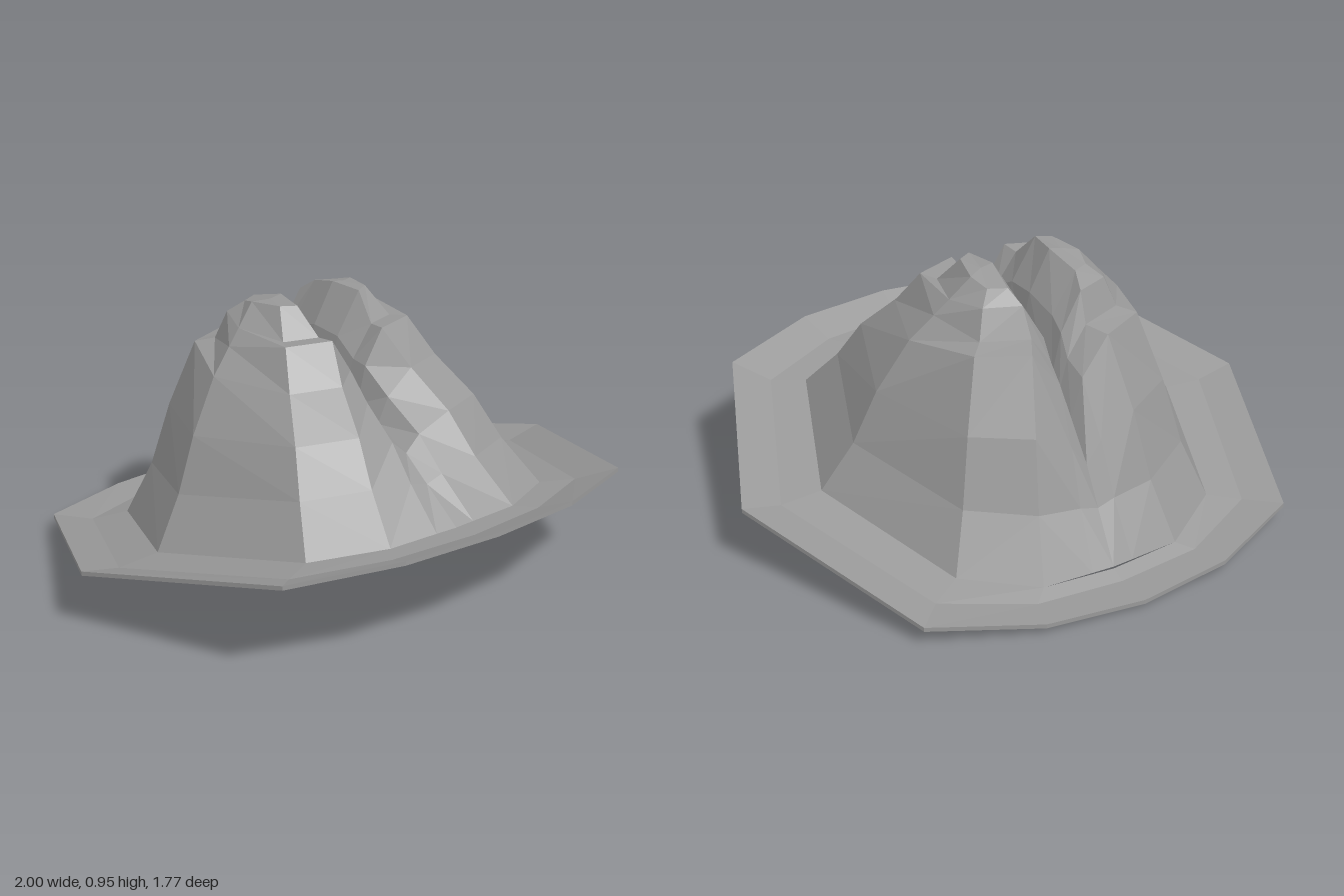
import * as THREE from 'three';

// Skin a grid of points: rows run along i, each row holds points along j
function skin(rows, mirror = false) {
  const pos = [];
  const s = mirror ? -1 : 1;
  const tri = (a, b, c) => {
    for (const p of mirror ? [a, c, b] : [a, b, c]) pos.push(p[0] * s, p[1], p[2]);
  };
  for (let i = 0; i < rows.length - 1; i++) {
    for (let j = 0; j < rows[i].length - 1; j++) {
      const a = rows[i][j], b = rows[i + 1][j], c = rows[i + 1][j + 1], d = rows[i][j + 1];
      tri(a, b, c);
      tri(a, c, d);
    }
  }
  const g = new THREE.BufferGeometry();
  g.setAttribute('position', new THREE.Float32BufferAttribute(pos, 3));
  g.computeVertexNormals();
  return g;
}

const lerp = THREE.MathUtils.lerp;
const plane = (z, drop) => 0.22 + 0.215 * z - drop; // tilt of the whole tray
const FOOT_DROP = 0.02;

// Piecewise linear lookup
function lookup(pts, x) {
  for (let i = 1; i < pts.length; i++) {
    const [x0, y0] = pts[i - 1], [x1, y1] = pts[i];
    if (x <= x1) return lerp(y0, y1, Math.max(0, (x - x0) / (x1 - x0)));
  }
  return pts[pts.length - 1][1];
}

// Half outline from front to back, mirrored into a closed ring
const closed = (half) => [...half, ...half.slice(1, -1).reverse().map(([x, z]) => [-x, z]), half[0]];

export function createModel() {
  const model = new THREE.Group();
  const stone = new THREE.MeshStandardMaterial({ color: 0x999999, flatShading: true });
  stone.name = 'grey stone';
  const add = (name, geometry, parent = model) => {
    const m = new THREE.Mesh(geometry, stone);
    m.name = name;
    parent.add(m);
  };

  // Tilted tray: floor, raised lip, rim edge and flat underside
  const foot = [[0, 0.68], [0.26, 0.665], [0.5, 0.54], [0.71, 0], [0.5, -0.54], [0.26, -0.69], [0, -0.71]];
  const inner = [[0, 0.77], [0.31, 0.735], [0.61, 0.6], [0.86, 0], [0.61, -0.6], [0.31, -0.735], [0, -0.76]];
  const rim = [[0, 0.885], [0.35, 0.85], [0.71, 0.705], [1, 0], [0.71, -0.705], [0.35, -0.85], [0, -0.89]];
  const under = rim.map(([x, z]) => [x * 0.88, z * 0.87]);
  const layers = [[foot, FOOT_DROP], [inner, 0.03], [rim, 0], [rim, 0.015], [under, 0.054], [rim.map(() => [0, 0]), 0.058]];
  const rings = layers.map(([half, drop]) => closed(half).map(([x, z]) => [x, plane(z, drop), z]));
  // walk the ring from +x towards +z so faces point outwards
  const trayRows = rings[0].map((_, i) => rings.map((r) => r[i])).reverse();
  add('tray', skin(trayRows));

  // Spokes of one peak, from foot to summit, front to back
  const T = [0, 0.22, 0.38, 0.6, 0.76, 0.86, 1];
  const H = {
    front: [0, 0.23, 0.46, 0.66, 0.86, 0.85, 1],
    side: [0, 0.23, 0.48, 0.72, 0.83, 0.9, 1],
    back: [0, 0.24, 0.52, 0.81, 0.83, 0.95, 1],
  };
  const PINCH = [1, 0.95, 0.9, 0.8, 0.65, 0.75, 1];
  const summit = [[0.13, 0.94, 0], [0.18, 0.94, -0.03], [0.21, 0.93, -0.15], [0.19, 0.91, -0.22], [0.13, 0.91, -0.25]];
  const rise = [H.front, H.front, H.side, H.back, H.back];
  const spokes = summit.map((top, i) => {
    const [fx, fz] = foot[i + 1];
    const fy = plane(fz, FOOT_DROP);
    const ridge = i === 0 || i === 4;
    return T.map((t, k) => [
      lerp(fx, top[0], t) * (ridge ? PINCH[k] : 1),
      lerp(fy, top[1], rise[i][k]),
      lerp(fz, top[2], t),
    ]);
  });

  // Cleft between the peaks: ridge line, steep wall, valley floor on the centre line
  const valley = [[-0.71, plane(-0.71, FOOT_DROP)], [-0.6, 0.24], [-0.5, 0.42], [-0.3, 0.61],
    [-0.12, 0.65], [0.13, 0.62], [0.42, 0.52], [0.68, plane(0.68, FOOT_DROP)]];
  const innerTop = [0.11, 0.945, -0.12];
  const ridgeLine = [...spokes[0], innerTop, ...[...spokes[4]].reverse()];
  const cleft = ridgeLine.map((p) => {
    const z = p[2] * 1.025;
    const y = lookup(valley, z);
    return [p, [p[0] * 0.3, lerp(y, p[1], 0.52), lerp(z, p[2], 0.3)], [0, y, z]];
  });

  // Small flat summit
  const centre = [0.155, 0.937, -0.12];
  const cap = [...summit, innerTop, summit[0]].map((p) => [p, centre]);

  for (const [name, mirror] of [['leftPeak', false], ['rightPeak', true]]) {
    const peak = new THREE.Group();
    peak.name = name;
    add('slopes', skin(spokes, mirror), peak);
    add('cleftWall', skin(cleft, mirror), peak);
    add('summit', skin(cap, mirror), peak);
    model.add(peak);
  }
  return model;
}
